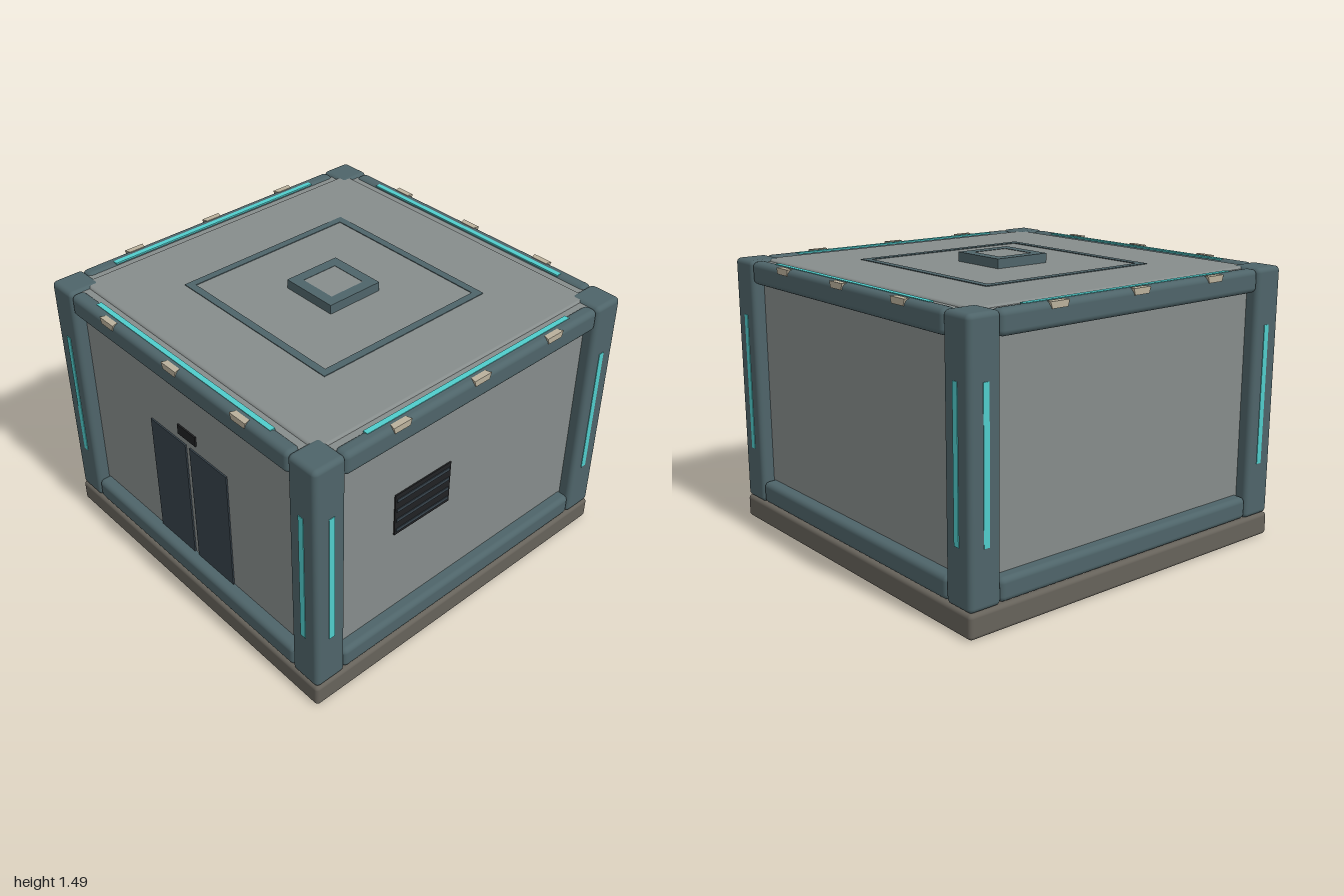
import * as THREE from 'three';
import { RoundedBoxGeometry } from 'three/addons/geometries/RoundedBoxGeometry.js';

const material = (name, color) => {
  const m = new THREE.MeshStandardMaterial({ color });
  m.name = name;
  return m;
};

export function createModel() {
  const panel = material('grey panel', 0x868c8b);
  const frame = material('teal frame', 0x4e6469);
  const stone = material('brown base', 0x66625a);
  const dark = material('dark slate', 0x36424a);
  const black = material('black', 0x202123);
  const tan = material('tan clip', 0xb9b09b);
  const glow = material('cyan light', 0x50cccb);

  const model = new THREE.Group();
  model.name = 'squareModule';

  const add = (parent, name, geometry, mat, x, y, z) => {
    const mesh = new THREE.Mesh(geometry, mat);
    mesh.name = name;
    mesh.position.set(x, y, z);
    parent.add(mesh);
    return mesh;
  };
  // box given by its lower and upper corners; r > 0 rounds the edges
  const block = (parent, name, mat, [x0, y0, z0], [x1, y1, z1], r = 0) => {
    const w = x1 - x0, h = y1 - y0, d = z1 - z0;
    const geometry = r ? new RoundedBoxGeometry(w, h, d, 3, r) : new THREE.BoxGeometry(w, h, d);
    return add(parent, name, geometry, mat, (x0 + x1) / 2, (y0 + y1) / 2, (z0 + z1) / 2);
  };
  // flat square ring lying on the roof
  const ring = (name, mat, outer, inner, y, height) => {
    const shape = new THREE.Shape();
    shape.moveTo(-outer, -outer).lineTo(outer, -outer).lineTo(outer, outer).lineTo(-outer, outer);
    const hole = new THREE.Path();
    hole.moveTo(-inner, -inner).lineTo(-inner, inner).lineTo(inner, inner).lineTo(inner, -inner);
    shape.holes.push(hole);
    const geometry = new THREE.ExtrudeGeometry(shape, { depth: height, bevelEnabled: false });
    add(model, name, geometry.rotateX(-Math.PI / 2), mat, 0, y, 0);
  };

  // base, body and roof
  block(model, 'base', stone, [-1, 0, -1], [1, 0.122, 1], 0.02);
  block(model, 'walls', panel, [-0.93, 0.1, -0.93], [0.93, 1.427, 0.93]);
  block(model, 'roofPanel', panel, [-0.885, 1.36, -0.885], [0.885, 1.437, 0.885], 0.015);

  // clip that wraps the top edge of a beam, narrowing away from the edge
  const clipGeometry = new THREE.BoxGeometry(0.11, 0.032, 0.032);
  const p = clipGeometry.attributes.position;
  for (let i = 0; i < p.count; i++) {
    if (p.getY(i) < 0 || p.getZ(i) < 0) p.setX(i, p.getX(i) * 0.82);
  }
  clipGeometry.computeVertexNormals();

  // four equal sides: corner column, beams, lights and clips
  for (let i = 0; i < 4; i++) {
    const side = new THREE.Group();
    side.name = ['front', 'left', 'back', 'right'][i] + 'Frame';
    side.rotation.y = i * Math.PI / 2;
    model.add(side);
    block(side, 'cornerColumn', frame, [0.82, 0.122, 0.82], [0.997, 1.44, 0.997], 0.025);
    block(side, 'topBeam', frame, [-0.825, 1.32, 0.915], [0.825, 1.438, 0.995], 0.028);
    block(side, 'bottomBeam', frame, [-0.825, 0.125, 0.9], [0.825, 0.242, 0.995], 0.028);
    block(side, 'roofLight', glow, [-0.66, 1.433, 0.921], [0.66, 1.441, 0.949]);
    for (const s of [-1, 1]) {
      block(side, 'columnLight', glow, [s * 0.905 - 0.016, 0.412, 0.992], [s * 0.905 + 0.016, 1.148, 1]);
    }
    for (const x of [-0.5, 0, 0.5]) {
      add(side, 'beamClip', clipGeometry, tan, x, 1.425, 0.984);
    }
  }

  // roof outline and hatch
  ring('roofOutline', frame, 0.522, 0.482, 1.435, 0.006);
  ring('hatchFrame', frame, 0.16, 0.103, 1.435, 0.051);
  block(model, 'hatchPanel', panel, [-0.104, 1.435, -0.104], [0.104, 1.484, 0.104]);

  // sliding door with a sign above
  for (const s of [-1, 1]) {
    block(model, 'doorLeaf', dark, [s * 0.158 - 0.142, 0.23, 0.929], [s * 0.158 + 0.142, 0.943, 0.938]);
  }
  block(model, 'doorSign', black, [-0.07, 0.985, 0.929], [0.07, 1.042, 0.938]);

  // vent on the +x wall
  block(model, 'vent', black, [0.929, 0.725, 0.1], [0.937, 0.967, 0.462]);
  for (let i = 0; i < 4; i++) {
    const y = 0.752 + i * 0.06;
    block(model, 'ventSlat', dark, [0.934, y - 0.009, 0.11], [0.941, y + 0.009, 0.452]);
  }
  return model;
}
